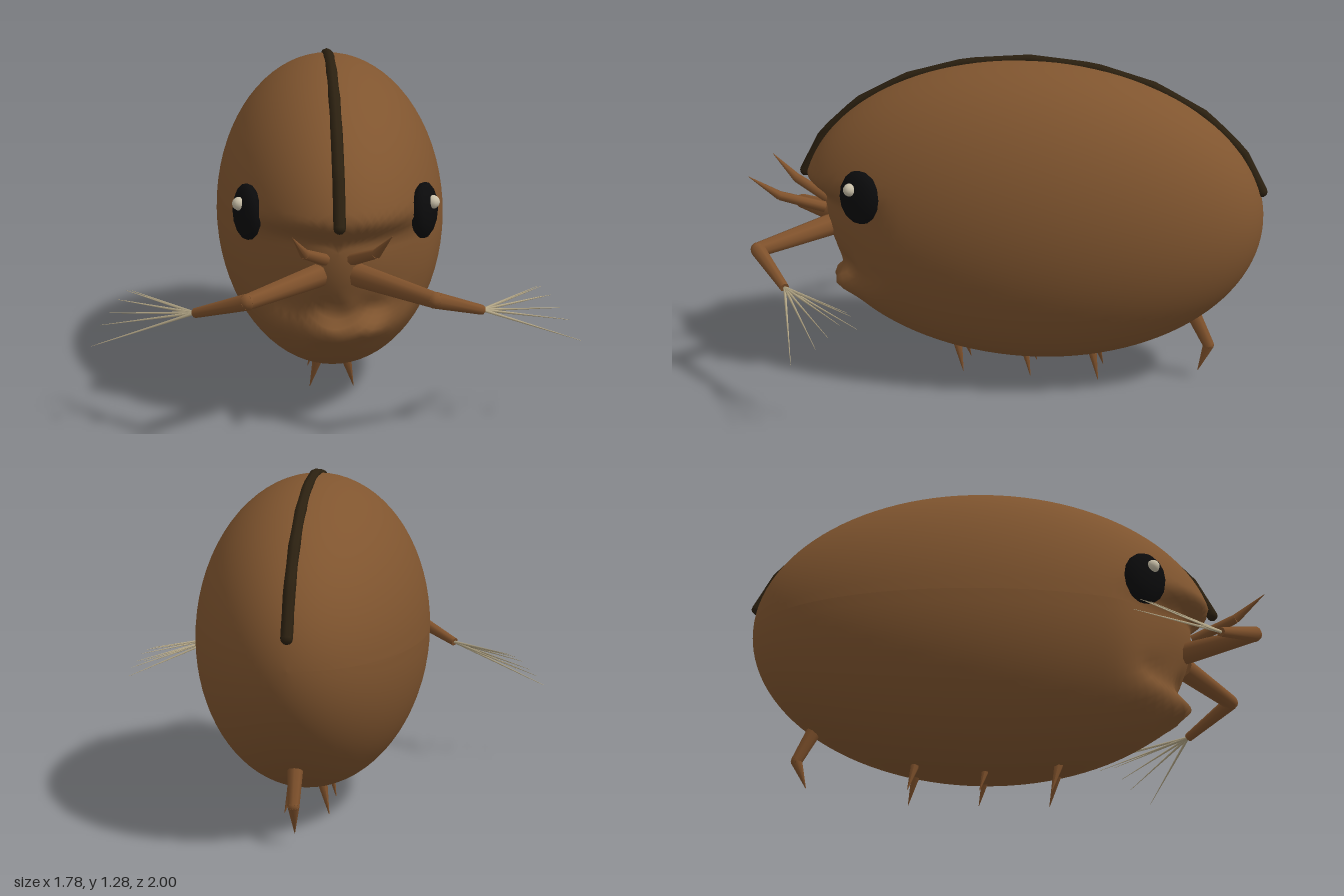
import * as THREE from 'three';

const material = (name, color) => {
  const m = new THREE.MeshStandardMaterial({ color });
  m.name = name;
  return m;
};
const V = (a) => new THREE.Vector3(...a);
const smooth = THREE.MathUtils.smoothstep;

export function createModel() {
  const shell = material('shell brown', 0x80552f);
  const limb = material('limb brown', 0x80522c);
  const ridge = material('dark ridge', 0x2b2010);
  const black = material('eye black', 0x0b0b0c);
  const glint = material('eye glint', 0xc8bfa8);
  const straw = material('bristle straw', 0xb5a888);

  const model = new THREE.Group();
  model.name = 'shelledSwimmer';

  const add = (name, geometry, mat, parent = model) => {
    const mesh = new THREE.Mesh(geometry, mat);
    mesh.name = name;
    parent.add(mesh);
    return mesh;
  };

  // Tapered rod between two points
  const rod = (name, from, to, r0, r1, mat, parent, sides = 8) => {
    const a = V(from), b = V(to), d = b.clone().sub(a);
    const mesh = add(name, new THREE.CylinderGeometry(r1, r0, d.length(), sides), mat, parent);
    mesh.position.copy(a).add(b).multiplyScalar(0.5);
    mesh.quaternion.setFromUnitVectors(new THREE.Vector3(0, 1, 0), d.normalize());
    return mesh;
  };

  // Egg-shaped shell with a shallow face opening pressed into the front
  const body = new THREE.SphereGeometry(1, 72, 56);
  body.rotateX(Math.PI / 2);
  body.scale(0.443, 0.595, 0.905);
  body.translate(0, 0.675, -0.083);
  const p = body.attributes.position;
  for (let i = 0; i < p.count; i++) {
    const x = p.getX(i), y = p.getY(i), z = p.getZ(i);
    const band = smooth(y, 0.34, 0.46) * (1 - smooth(y, 0.7, 0.8));
    const dent = band * smooth(z, 0.36, 0.72);
    const lump = 0.012 * Math.sin(x * 34) * Math.sin(y * 30) * smooth(z, 0.42, 0.6)
      * smooth(y, 0.25, 0.32) * (1 - smooth(y, 0.42, 0.55));
    const lip = 0.03 * smooth(z, 0.55, 0.7) * smooth(y, 0.28, 0.35) * (1 - smooth(y, 0.36, 0.44));
    p.setX(i, x * (1 - 0.07 * dent));
    p.setZ(i, z - 0.095 * dent + lump + lip);
  }
  body.computeVertexNormals();
  add('shell', body, shell);

  // Ridge running along the back in straight steps
  const path = new THREE.CurvePath();
  const ridgePoint = (i) => {
    const t = THREE.MathUtils.degToRad(11 + 15.8 * i);
    return new THREE.Vector3(0, 0.675 + 0.592 * Math.sin(t), -0.08 + 0.915 * Math.cos(t));
  };
  for (let i = 0; i < 10; i++) path.add(new THREE.LineCurve3(ridgePoint(i), ridgePoint(i + 1)));
  add('backRidge', new THREE.TubeGeometry(path, 40, 0.022, 8), ridge);
  for (const i of [0, 10]) {
    add('ridgeEnd', new THREE.SphereGeometry(0.022, 8, 6), ridge).position.copy(ridgePoint(i));
  }

  // Bristle tips of the left antenna
  const tips = [
    [0.89, 0.32, 0.645], [0.86, 0.375, 0.56], [0.83, 0.41, 0.52], [0.8, 0.45, 0.485],
    [0.78, 0.43, 0.425], [0.77, 0.475, 0.45], [0.75, 0.48, 0.47],
  ];

  for (const s of [1, -1]) {
    const side = s > 0 ? 'left' : 'right';
    const m = ([x, y, z]) => [s * x, y, z];

    // Eye with a small glint
    const eye = add(side + 'Eye', new THREE.SphereGeometry(1, 12, 8), black);
    eye.scale.set(0.046, 0.105, 0.088);
    eye.position.set(s * 0.322, 0.785, 0.52);
    eye.rotation.y = -s * 0.4;
    add(side + 'EyeGlint', new THREE.SphereGeometry(0.025, 10, 8), glint)
      .position.set(s * 0.352, 0.822, 0.55);

    // Branched swimming antenna
    const antenna = new THREE.Group();
    antenna.name = side + 'Antenna';
    model.add(antenna);
    const elbow = m([0.325, 0.555, 0.925]), wrist = m([0.51, 0.475, 0.77]);
    rod('upperAntenna', m([0.07, 0.59, 0.7]), elbow, 0.045, 0.03, limb, antenna);
    add('antennaElbow', new THREE.SphereGeometry(0.03, 8, 6), limb, antenna).position.copy(V(elbow));
    rod('lowerAntenna', elbow, wrist, 0.03, 0.018, limb, antenna);
    for (const tip of tips) rod('bristle', wrist, m(tip), 0.006, 0.0008, straw, antenna, 5);

    // Short feeler above the mouth
    const feeler = new THREE.Group();
    feeler.name = side + 'Feeler';
    model.add(feeler);
    const bend = m([0.125, 0.715, 0.89]);
    rod('feelerBase', m([0.05, 0.655, 0.73]), bend, 0.022, 0.018, limb, feeler);
    rod('feelerTip', bend, m([0.17, 0.8, 1]), 0.018, 0.001, limb, feeler);

    // Belly spines
    for (const z of [0.2, -0.07, -0.34]) {
      rod(side + 'BellySpine', m([0.055, 0.13, z]), m([0.085, 0.008, z - 0.03]), 0.02, 0.001, limb, model, 6);
    }
  }

  // Bent tail claw
  const claw = new THREE.Group();
  claw.name = 'tailClaw';
  model.add(claw);
  rod('clawBase', [0, 0.3, -0.72], [0, 0.15, -0.795], 0.03, 0.022, limb, claw);
  add('clawJoint', new THREE.SphereGeometry(0.022, 8, 6), limb, claw).position.set(0, 0.15, -0.795);
  rod('clawTip', [0, 0.15, -0.795], [0, 0.04, -0.755], 0.022, 0.001, limb, claw);

  return model;
}
